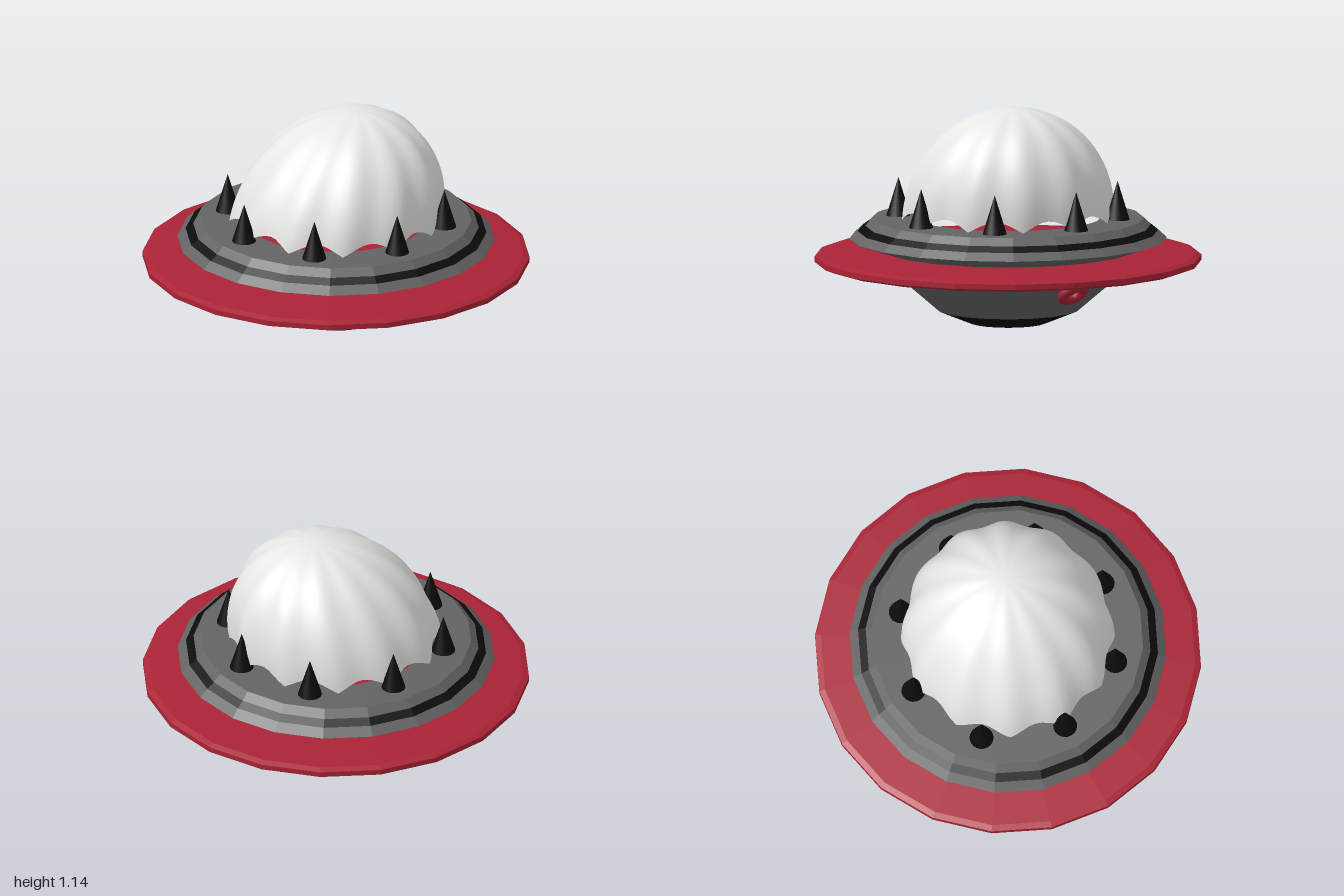
import * as THREE from 'three';
import { mergeVertices } from 'three/addons/utils/BufferGeometryUtils.js';

const mat = (name, color, side = THREE.FrontSide) =>
  new THREE.MeshStandardMaterial({ name, color, side });

export function createModel() {
  const red = mat('crimson', 0xa92335);
  const grey = mat('hull grey', 0x636363);
  const black = mat('black', 0x0c0c0c);
  const white = mat('canopy white', 0xe6e6e3, THREE.DoubleSide);
  const teal = mat('lens teal', 0x7fbfcc);

  const model = new THREE.Group();
  model.name = 'saucer';
  const add = (name, geometry, material) => {
    const mesh = new THREE.Mesh(geometry, material);
    mesh.name = name;
    model.add(mesh);
    return mesh;
  };

  // Faceted ring turned from a profile of [radius, y] points, running outward and up
  const ring = (name, material, ...profile) => {
    const points = profile.map(([r, y]) => new THREE.Vector2(r, y));
    const g = new THREE.LatheGeometry(points, 20).toNonIndexed();
    g.computeVertexNormals();
    return add(name, g, material);
  };

  // Underside: nose with a recessed lens, bowl and collar
  ring('nose', black, [0.19, 0], [0.2, 0], [0.37, 0.07]);
  ring('lensSocket', white, [0.19, 0], [0.19, 0.045]);
  const lens = add('lens', new THREE.CircleGeometry(0.19, 20), teal);
  lens.rotation.x = Math.PI / 2;
  lens.position.y = 0.045;
  ring('bowl', grey, [0.37, 0.07], [0.62, 0.285]);
  ring('collar', black, [0.62, 0.285], [0.685, 0.289]);

  // Wide rim disc, closed on top
  ring('rimDisc', red, [0.6, 0.29], [0.96, 0.305], [1, 0.32], [1, 0.348], [0.97, 0.36],
    [0.66, 0.386], [0, 0.39]);

  // Upper deck with a painted stripe and an open centre
  ring('deckLower', grey, [0.66, 0.385], [0.82, 0.44], [0.777, 0.479]);
  ring('deckStripe', black, [0.777, 0.479], [0.738, 0.507]);
  ring('deckTop', grey, [0.738, 0.507], [0.7, 0.545], [0.48, 0.548]);

  // Leaning canopy with twelve lobes and a scalloped hem
  const canopy = new THREE.SphereGeometry(1, 96, 28, 0, Math.PI * 2, 0, Math.PI / 2);
  const p = canopy.attributes.position;
  const rise = 0.592;
  for (let i = 0; i < p.count; i++) {
    const phi = Math.atan2(p.getZ(i), p.getX(i));
    const t = Math.asin(Math.min(1, Math.max(0, p.getY(i)))) / (Math.PI / 2);
    const hem = Math.asin(0.055 * Math.abs(Math.sin(6 * phi)) / rise);
    const a = hem + (Math.PI / 2 - hem) * t;
    const r = Math.cos(a) * (0.54 + 0.012 * Math.cos(12 * phi));
    const h = Math.sin(a);
    p.setXYZ(i, r * Math.cos(phi) + 0.1 * h, 0.545 + rise * h, r * Math.sin(phi) + 0.04 * h);
  }
  canopy.deleteAttribute('uv');
  canopy.deleteAttribute('normal');
  const dome = mergeVertices(canopy);
  dome.computeVertexNormals();
  add('canopy', dome, white);

  // Spikes around the canopy
  for (let i = 0; i < 8; i++) {
    const a = i * Math.PI / 4;
    const spike = add('spike', new THREE.ConeGeometry(0.063, 0.205, 20), black);
    spike.position.set(0.57 * Math.cos(a), 0.6455, 0.57 * Math.sin(a));
  }

  // Two ring ports lying on the sloping bowl
  for (const a of [0, -Math.PI * 2 / 3]) {
    const port = add('ringPort', new THREE.TorusGeometry(0.06, 0.028, 12, 28), red);
    const normal = new THREE.Vector3(0.65 * Math.cos(a), -0.76, 0.65 * Math.sin(a)).normalize();
    port.quaternion.setFromUnitVectors(new THREE.Vector3(0, 0, 1), normal);
    port.position.set(0.545 * Math.cos(a), 0.217, 0.545 * Math.sin(a));
  }
  return model;
}
